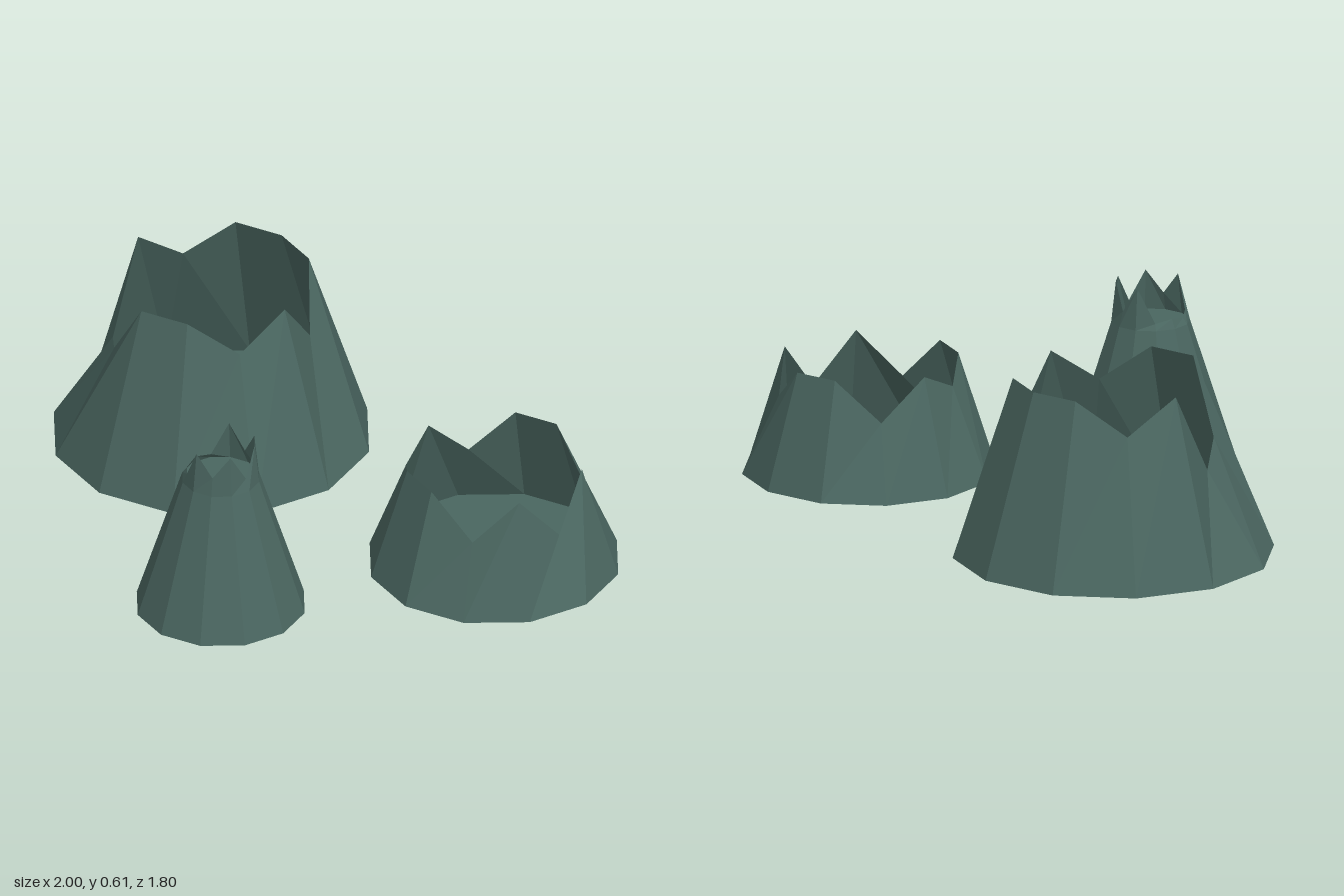
import * as THREE from 'three';

const SIDES = 12;
const material = new THREE.MeshStandardMaterial({
  color: 0x4a6660, flatShading: true, side: THREE.DoubleSide,
});

function addMesh(group, name, geometry) {
  const mesh = new THREE.Mesh(geometry, material);
  mesh.name = name;
  group.add(mesh);
}

// Open tapered wall; rim lists the height of each top corner,
// every 30 degrees from +x towards +z
function wall(bottomRadius, topRadius, bottom, top, rim) {
  const geometry = new THREE.CylinderGeometry(topRadius, bottomRadius, top - bottom, SIDES, 1, true);
  geometry.translate(0, (top + bottom) / 2, 0);
  const p = geometry.attributes.position;
  for (let i = 0; rim && i < p.count; i++) {
    if (p.getY(i) < top - 0.001) continue;
    const step = Math.round(Math.atan2(p.getZ(i), p.getX(i)) / (Math.PI / 6));
    p.setY(i, rim[(step + SIDES) % SIDES]);
  }
  geometry.computeVertexNormals();
  return geometry;
}

// Flat twelve-sided disc, facing up or down
function disc(radius, y, down) {
  const geometry = new THREE.CircleGeometry(radius, SIDES);
  geometry.rotateX(down ? Math.PI / 2 : -Math.PI / 2);
  return geometry.translate(0, y, 0);
}

// Hollow stump with a jagged rim
function hollowStump(name, x, z, bottomRadius, topRadius, top, rim) {
  const group = new THREE.Group();
  group.name = name;
  group.position.set(x, 0, z);
  addMesh(group, 'stumpWall', wall(bottomRadius, topRadius, 0.01, top, rim));
  addMesh(group, 'stumpBase', disc(bottomRadius, 0.01, true));
  return group;
}

// Slim cone with a shallow jagged crown on top
function crownedStump(name, x, z, rim) {
  const group = new THREE.Group();
  group.name = name;
  group.position.set(x, 0, z);
  addMesh(group, 'coneWall', wall(0.277, 0.127, 0, 0.47));
  addMesh(group, 'coneBase', disc(0.277, 0, true));
  addMesh(group, 'crownFloor', disc(0.127, 0.47, false));
  addMesh(group, 'crown', wall(0.127, 0.112, 0.47, 0.605, rim));
  return group;
}

export function createModel() {
  const model = new THREE.Group();
  model.name = 'jaggedStumps';
  const a = 0.605, b = 0.387;
  model.add(
    hollowStump('largeStump', -0.48, -0.38, 0.52, 0.325, a,
      [0.42, a, 0.49, a, a, 0.38, 0.32, a, 0.49, a, a, a]),
    hollowStump('lowStump', 0.585, 0.165, 0.41, 0.29, b,
      [b, 0.22, b, 0.24, b, b, 0.32, b, 0.25, b, b, 0.27]),
    crownedStump('slimStump', -0.205, 0.62,
      [a, 0.51, a, 0.53, a, 0.5, 0.49, 0.5, 0.49, a, 0.52, a]),
  );
  return model;
}
